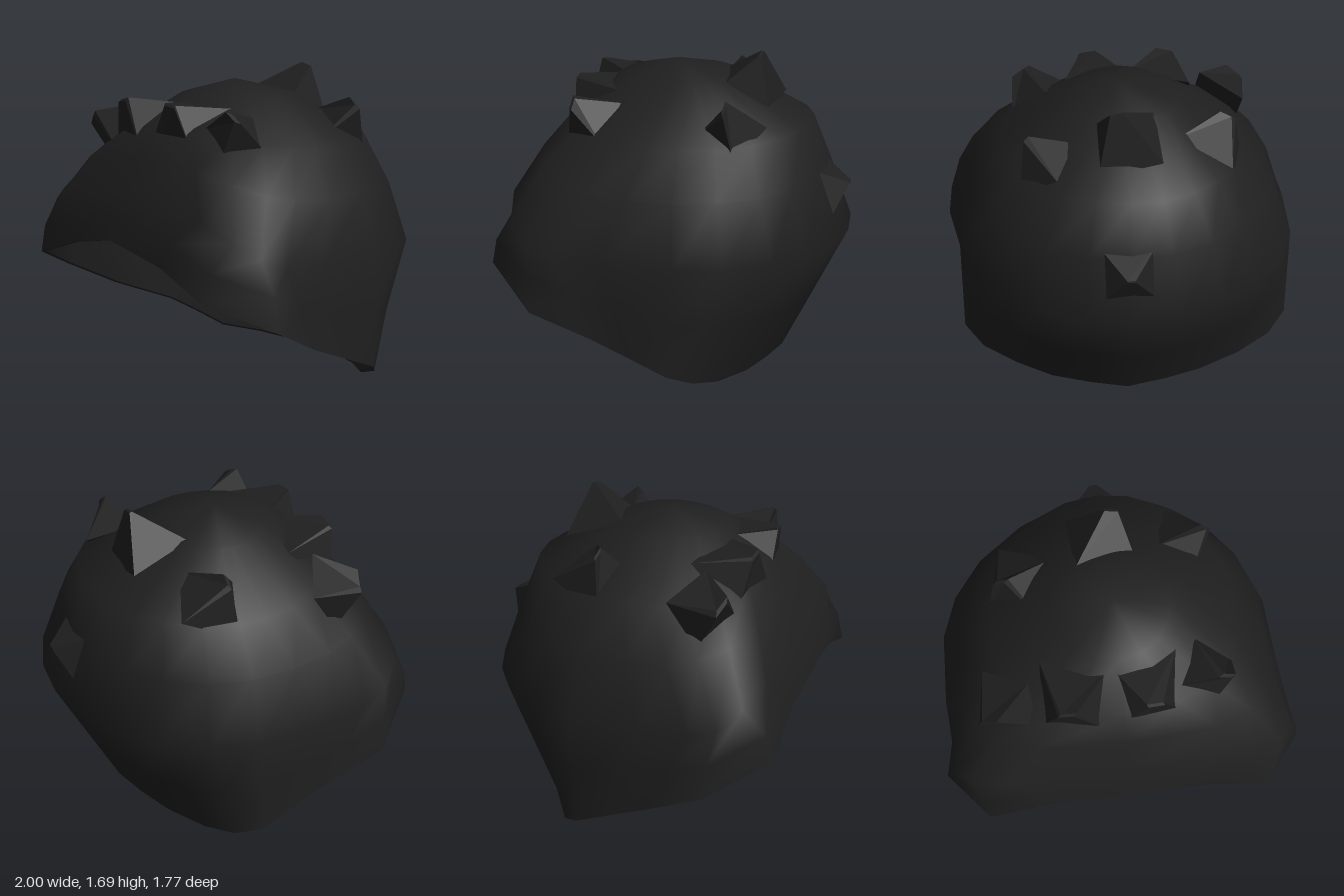
import * as THREE from 'three';

export function createModel() {
  const group = new THREE.Group();
  const black = new THREE.MeshStandardMaterial({ color: 0x1f1f1f });
  const blackFlat = black.clone();
  blackFlat.flatShading = true;
  black.name = 'soft black';
  blackFlat.name = 'soft black faceted';

  // Lower rim, left half, from front centre round to back centre
  const rim = [
    [0, .82, .88], [.42, .74, .85], [.77, .63, .86], [1, .48, .56], [.93, .33, .26], [.925, .25, .06],
    [.925, .17, -.14], [.82, .1, -.25], [.63, .03, -.33], [.42, .02, -.44], [.21, .01, -.5], [0, 0, -.54],
  ].map((p) => new THREE.Vector3(...p));
  const angles = [0, 22, 42, 60, 75, 88, 101, 117, 134, 149, 165, 180].map(THREE.MathUtils.degToRad);

  // Dome levels: half width, front z, back z, heights at front, side and back, front roundness
  const levels = [
    [.93, .8, -.89, 1.04, .76, .73, .4],
    [.82, .7, -.77, 1.24, 1.07, 1.06, .6],
    [.65, .6, -.67, 1.38, 1.3, 1.32, .85],
    [.31, .36, -.23, 1.55, 1.54, 1.55, 1],
  ];
  const halves = levels.map(([w, zf, zb, yf, ys, yb, round]) => angles.map((a) => {
    const s = Math.max(Math.sin(a), 0), c = Math.cos(a), front = c > 0;
    const bulge = 1 + .1 * (1 - round) * Math.sin(2 * a) ** 2;
    const x = front ? w * s ** round * bulge : w * s;
    const y = ys + ((front ? yf : yb) - ys) * c * c;
    return new THREE.Vector3(x, y, front ? zf * c ** round : -zb * c);
  }));
  // The brow rises steeply from the rim, the back slopes evenly
  const middle = rim.map((p, i) => {
    const q = halves[0][i], m = p.clone().lerp(q, .5);
    if (i > 0 && i < 4) {
      m.x = THREE.MathUtils.lerp(p.x, q.x, .3);
      m.z = THREE.MathUtils.lerp(p.z, q.z, .25);
    }
    return m;
  });
  const mirror = (half) => [
    ...half,
    ...half.slice(1, -1).reverse().map((p) => new THREE.Vector3(-p.x, p.y, p.z)),
  ];
  const rings = [rim, middle, ...halves].map(mirror);
  // The lower sides lean slightly to the right
  for (const p of rings.slice(0, 3).flat()) if (p.z < .4 && Math.abs(p.x) > .5) p.x -= .018;
  const crown = new THREE.Vector3(0, 1.62, .07);

  // Skin rings of points, closing on an optional top point
  function skin(loops, top, inward) {
    const n = loops[0].length, index = [];
    const tri = (a, b, c) => (inward ? index.push(a, c, b) : index.push(a, b, c));
    for (let r = 0; r < loops.length - 1; r++) {
      for (let j = 0; j < n; j++) {
        const k = (j + 1) % n, a = r * n + j, b = r * n + k;
        tri(a, b, b + n);
        tri(a, b + n, a + n);
      }
    }
    const points = loops.flat();
    if (top) {
      const base = (loops.length - 1) * n;
      for (let j = 0; j < n; j++) tri(base + j, base + (j + 1) % n, points.length);
      points.push(top);
    }
    const g = new THREE.BufferGeometry().setFromPoints(points);
    g.setIndex(index);
    g.computeVertexNormals();
    return g;
  }
  function add(name, geometry, material) {
    const mesh = new THREE.Mesh(geometry, material);
    mesh.name = name;
    group.add(mesh);
    return mesh;
  }

  // Outer cap, inner lining and the thin edge joining them
  const centre = new THREE.Vector3(0, .7, 0);
  const inset = (p, amount) => p.clone().lerp(centre, amount);
  const lining = rings.map((ring, i) => ring.map((p) => inset(p, i ? .035 : .02)));
  add('cap', skin(rings, crown, false), black);
  add('lining', skin(lining, inset(crown, .035), true), black);
  add('rimEdge', skin([lining[0], rings[0]], null, false), black);

  // Four-sided tufts: base, tip, base radius, spin, ridge half length
  const tufts = [
    ['crownTuft', [0, 1.48, -.33], [.05, 1.68, -.4], .24, .8, .05],
    ['backLeftTuft', [.42, 1.36, -.33], [.53, 1.5, -.33], .19, .3, .05],
    ['backRightTuft', [-.47, 1.36, -.19], [-.55, 1.51, -.15], .23, .4, .05],
    ['napeTuft', [.01, .97, -.78], [.01, 1.01, -.89], .22, .8, .03],
    ['frontRightTuft', [-.59, 1.31, .43], [-.69, 1.38, .55], .2, .5, .07],
    ['foreheadRightTuft', [-.25, 1.38, .48], [-.29, 1.51, .6], .25, .6, .06],
    ['foreheadLeftTuft', [.13, 1.39, .48], [.15, 1.51, .6], .25, .9, .06],
    ['frontLeftTuft', [.45, 1.36, .41], [.53, 1.47, .48], .18, .4, .06],
  ];
  const up = new THREE.Vector3(0, 1, 0);
  for (const [name, from, to, radius, spin, ridge] of tufts) {
    const base = new THREE.Vector3(...from), tip = new THREE.Vector3(...to);
    const axis = tip.clone().sub(base);
    const height = axis.length() + .03;
    const g = new THREE.CylinderGeometry(ridge, radius, height, 4);
    g.rotateY(spin);
    // Pinch the top into a short ridge
    const pos = g.attributes.position;
    for (let i = 0; i < pos.count; i++) if (pos.getY(i) > 0) pos.setZ(i, pos.getZ(i) * .2);
    g.translate(0, -height / 2, 0);
    g.computeVertexNormals();
    const mesh = add(name, g, blackFlat);
    mesh.position.copy(tip);
    mesh.quaternion.setFromUnitVectors(up, axis.normalize());
  }
  return group;
}
